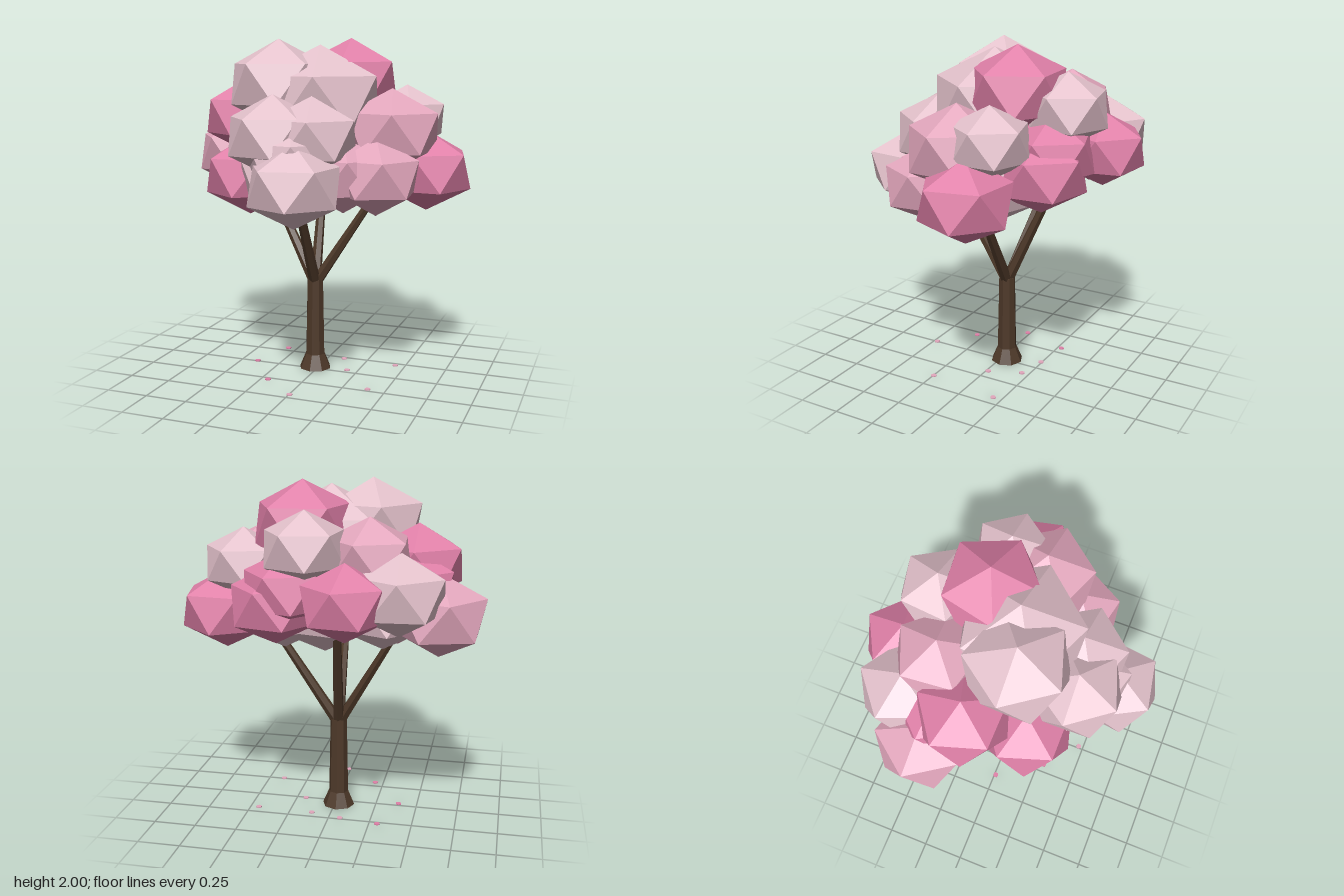
import * as THREE from 'three';

const flat = (name, color) => {
  const m = new THREE.MeshStandardMaterial({ color });
  m.name = name;
  m.flatShading = true;
  return m;
};

export function createModel() {
  const bark = flat('bark', 0x4e3929);
  const pale = flat('paleBlossom', 0xe4c2cc);
  const mid = flat('pinkBlossom', 0xe3a7bd);
  const deep = flat('deepBlossom', 0xe080a8);

  const tree = new THREE.Group();
  tree.name = 'blossomTree';
  const add = (name, geo, mat, parent = tree) => {
    const mesh = new THREE.Mesh(geo, mat);
    mesh.name = name;
    parent.add(mesh);
    return mesh;
  };

  // Trunk with a flared foot
  const base = new THREE.Vector3(-0.021, 0, -0.034);
  add('trunk', new THREE.CylinderGeometry(0.05, 0.061, 0.56, 8), bark).position.set(base.x, 0.28, base.z);
  add('trunkFoot', new THREE.CylinderGeometry(0.06, 0.098, 0.09, 8), bark).position.set(base.x, 0.045, base.z);

  // Branches fan out of the trunk top into the crown
  const up = new THREE.Vector3(0, 1, 0);
  const tips = [[-0.38, 1.15, -0.15], [0.36, 1.12, -0.07], [0.0, 1.15, 0.34], [-0.07, 1.2, -0.33]];
  for (const t of tips) {
    const start = new THREE.Vector3(base.x, 0.53, base.z);
    const end = new THREE.Vector3(...t);
    const dir = end.clone().sub(start);
    const branch = add('branch', new THREE.CylinderGeometry(0.022, 0.035, dir.length(), 6), bark);
    branch.position.copy(start).add(end).multiplyScalar(0.5);
    branch.quaternion.setFromUnitVectors(up, dir.normalize());
  }

  // Crown clumps: x, y, z, radius, colour, optional turn about the upright axis
  const clumps = [
    [-0.2, 1.735, 0.09, 0.315, pale, -1.5],
    [0.15, 1.75, -0.19, 0.305, deep, 0.1],
    [0.03, 1.64, 0.02, 0.39, pale],
    [0.49, 1.53, -0.21, 0.245, pale, 0.3],
    [0.63, 1.24, -0.14, 0.285, deep, 0],
    [0.08, 1.21, 0.57, 0.28, pale, -1.57],
    [-0.11, 1.46, 0.4, 0.28, pale, -1.57],
    [0.1, 1.45, 0.35, 0.28, pale],
    [0.01, 1.33, 0.42, 0.27, pale],
    [-0.63, 1.29, -0.29, 0.285, mid, 3.46],
    [-0.49, 1.535, -0.1, 0.28, deep],
    [-0.46, 1.43, -0.25, 0.27, deep],
    [-0.16, 1.4, -0.58, 0.26, deep, 1.88],
    [-0.43, 1.43, -0.46, 0.28, pale],
    [-0.25, 1.6, -0.33, 0.27, mid],
    [0.08, 1.66, -0.46, 0.25, pale],
    [0.26, 1.34, -0.4, 0.275, deep],
    [0.19, 1.43, -0.42, 0.265, deep],
    [0.46, 1.47, 0.01, 0.3, mid],
    [0.43, 1.235, 0.22, 0.265, mid],
    [-0.34, 1.215, 0.2, 0.285, deep],
    [-0.08, 1.22, 0.3, 0.28, pale],
    [0.05, 1.28, -0.08, 0.35, pale],
    [-0.3, 1.28, -0.15, 0.29, pale],
    [0.25, 1.24, 0.25, 0.26, mid],
    [0.28, 1.25, -0.13, 0.28, pale],
  ];
  const crown = new THREE.Group();
  crown.name = 'crown';
  tree.add(crown);
  // Twenty-sided clump standing on a corner, slightly squashed
  const clumpGeo = new THREE.IcosahedronGeometry(1, 0);
  const corner = new THREE.Vector3().fromBufferAttribute(clumpGeo.attributes.position, 0).normalize();
  clumpGeo.applyQuaternion(new THREE.Quaternion().setFromUnitVectors(corner, up));
  clumpGeo.scale(1, 0.82, 1);
  clumps.forEach(([x, y, z, r, mat, turn = x < -0.3 ? 3.3 : 0.4], i) => {
    const clump = add('blossomClump', clumpGeo, mat, crown);
    clump.position.set(x, y, z);
    clump.scale.setScalar(r);
    clump.rotation.y = turn + 0.1 * Math.sin(i * 2.4);
  });

  // Fallen petals on the ground
  const petals = [
    [-0.39, 0.01, deep], [-0.2, 0.29, deep], [0.01, 0.47, mid],
    [-0.3, -0.28, deep], [-0.07, -0.25, mid], [0.11, -0.21, mid],
    [0.19, -0.02, mid], [0.445, -0.2, mid], [0.4, 0.24, mid],
  ];
  const petalGeo = new THREE.CylinderGeometry(0.018, 0.018, 0.006, 6);
  for (const [x, z, mat] of petals) add('fallenPetal', petalGeo, mat).position.set(x, 0.008, z);

  return tree;
}
